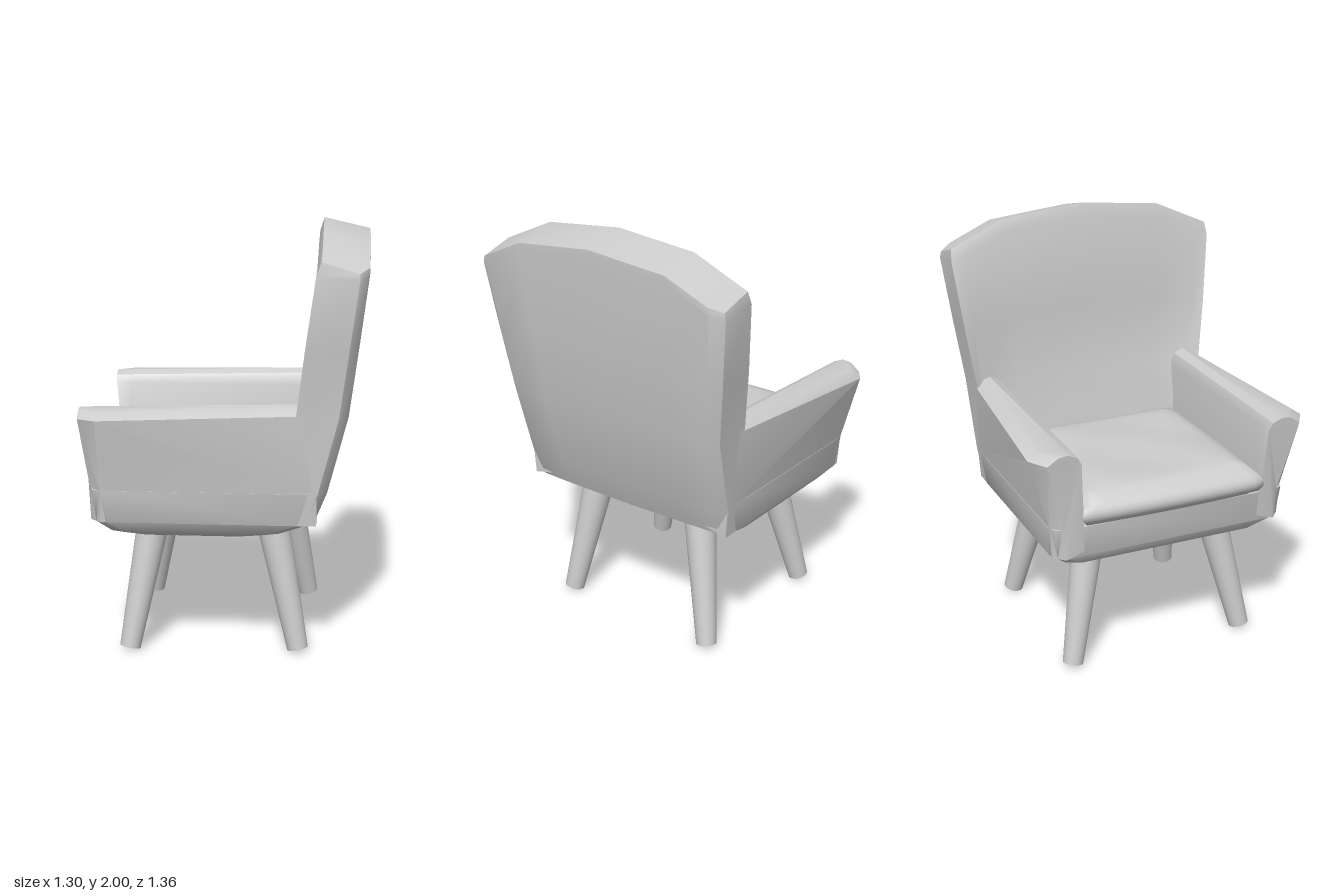
import * as THREE from 'three';
import { mergeVertices, toCreasedNormals } from 'three/addons/utils/BufferGeometryUtils.js';

const material = new THREE.MeshStandardMaterial({ color: 0xcccccc });

function addMesh(parent, name, geometry) {
  const mesh = new THREE.Mesh(geometry, material);
  mesh.name = name;
  parent.add(mesh);
  return mesh;
}

// Closed skin through rings of [x, y, z] points; ends are closed with strips.
function loft(rings, crease = 0.6) {
  const n = rings[0].length;
  const index = [];
  const quad = (a, b, c, d) => index.push(a, b, c, a, c, d);
  for (let r = 0; r < rings.length - 1; r++) {
    for (let i = 0; i < n; i++) {
      const j = (i + 1) % n;
      quad(r * n + i, r * n + j, (r + 1) * n + j, (r + 1) * n + i);
    }
  }
  const last = (rings.length - 1) * n;
  for (let i = 0; i < n / 2 - 1; i++) {
    quad(n - 1 - i, n - 2 - i, i + 1, i);
    quad(last + i, last + i + 1, last + n - 2 - i, last + n - 1 - i);
  }
  const points = rings.flat().map((p) => new THREE.Vector3(...p));
  // Turn the faces outward if the enclosed volume comes out negative
  let volume = 0;
  for (let i = 0; i < index.length; i += 3) {
    volume += points[index[i]].dot(points[index[i + 1]].clone().cross(points[index[i + 2]]));
  }
  if (volume < 0) index.reverse();
  const geometry = new THREE.BufferGeometry().setFromPoints(points);
  geometry.setIndex(index);
  return toCreasedNormals(geometry, crease);
}

// Horizontal rectangle with rounded corners
function baseRing([y, x0, x1, w, r]) {
  const corners = [[x1 - r, w - r, 0], [x0 + r, w - r, 1], [x0 + r, r - w, 2], [x1 - r, r - w, 3]];
  return corners.flatMap(([cx, cz, k]) => [0, 1, 2].map((i) => {
    const a = (k + i / 2) * Math.PI / 2;
    return [cx + r * Math.cos(a), y, cz + r * Math.sin(a)];
  }));
}

// Cross-section of an armrest, leaning forward from xLow to xTop
function armRing([xLow, xTop, zLow, zTop, top], side) {
  const section = [
    [0.68, 0.44], [1.12, 0.465], [top - 0.02, 0.485], [top, 0.53],
    [top - 0.006, zTop - 0.05], [top - 0.04, zTop], [0.8, zLow], [0.65, zLow - 0.012],
  ];
  return section.map(([y, z]) => {
    const t = THREE.MathUtils.clamp((y - 0.8) / 0.36, 0, 1);
    return [THREE.MathUtils.lerp(xLow, xTop, t), y, z * side];
  });
}

// Horizontal slice of the backrest, bent down toward the sides by the arch amount
function backRing([y, w, xEdge, xInner, xBack, arch, backDrop]) {
  const columns = [-1, -0.92, -0.6, 0, 0.6, 0.92, 1];
  const bend = (u) => arch * (Math.abs(u) <= 0.6 ? 0.0667 * Math.abs(u) : 0.04 + 0.3 * (Math.abs(u) - 0.6));
  const front = columns.map((u) => {
    const a = Math.abs(u);
    const x = a === 1 ? xEdge : a > 0.9 ? (xEdge + xInner) / 2 : xInner;
    return [x, y - bend(u), u * w];
  });
  const back = columns.map((u) => {
    const x = xBack - 0.015 * u * u - (Math.abs(u) === 1 ? 0.04 : 0);
    return [x, y - bend(u) - backDrop, u * w];
  }).reverse();
  return front.concat(back);
}

// Soft pillow made by swelling a subdivided box
function cushionGeometry() {
  let geometry = new THREE.BoxGeometry(2, 2, 2, 20, 6, 20);
  geometry.deleteAttribute('normal');
  geometry.deleteAttribute('uv');
  geometry = mergeVertices(geometry);
  const p = geometry.attributes.position;
  for (let i = 0; i < p.count; i++) {
    const u = p.getX(i), v = p.getY(i), w = p.getZ(i);
    const edge = Math.max(Math.abs(u), Math.abs(w));
    const thick = 0.045 + 0.055 * Math.sqrt(1 - edge ** 6);
    const shrink = 1 - 0.05 * v * v;
    const dent = v > 0 ? 0.008 * Math.sin(5 * u + 1) * Math.cos(4 * w) * (1 - edge ** 4) : 0;
    p.setXYZ(i,
      -0.175 + 0.475 * u * shrink * (1 - 0.025 * w * w),
      0.855 + v * thick + dent,
      0.465 * w * shrink * (1 - 0.02 * u * u));
  }
  geometry.computeVertexNormals();
  return geometry;
}

// Tapered leg between a foot point and a top point
function addLeg(parent, name, foot, top) {
  const a = new THREE.Vector3(...foot), b = new THREE.Vector3(...top);
  const axis = b.clone().sub(a);
  const leg = addMesh(parent, name, new THREE.CylinderGeometry(0.078, 0.049, axis.length(), 20));
  leg.position.copy(a).add(b).multiplyScalar(0.5);
  leg.quaternion.setFromUnitVectors(new THREE.Vector3(0, 1, 0), axis.normalize());
}

export function createModel() {
  const chair = new THREE.Group();
  chair.name = 'armchair';

  // Seat base: height, front x, rear x, half width, corner radius
  addMesh(chair, 'seatBase', loft([
    [0.55, -0.47, 0.16, 0.42, 0.1],
    [0.59, -0.55, 0.28, 0.525, 0.1],
    [0.65, -0.6, 0.4, 0.578, 0.07],
    [0.8, -0.612, 0.44, 0.59, 0.06],
  ].map(baseRing), 0.8));

  // Armrests: low x, top x, low half width, top half width, top height
  const armSections = [
    [-0.61, -0.65, 0.54, 0.625, 1.175],
    [-0.56, -0.56, 0.588, 0.682, 1.178],
    [0.42, 0.42, 0.588, 0.6, 1.2],
  ];
  for (const [name, side] of [['armrestLeft', 1], ['armrestRight', -1]]) {
    addMesh(chair, name, loft(armSections.map((s) => armRing(s, side))));
  }

  // Backrest: height, half width, edge x, inner x, back x, arch, drop at the back
  addMesh(chair, 'backrest', loft([
    [0.6, 0.5, 0.22, 0.22, 0.32, 0, 0],
    [0.65, 0.575, 0.27, 0.27, 0.42, 0, 0],
    [0.8, 0.59, 0.29, 0.28, 0.48, 0, 0],
    [1.15, 0.605, 0.325, 0.385, 0.57, 0, 0],
    [1.5, 0.645, 0.362, 0.395, 0.61, 0.3, 0],
    [1.94, 0.682, 0.408, 0.415, 0.65, 1, 0.02],
    [2.0, 0.676, 0.43, 0.435, 0.65, 1, 0.05],
  ].map(backRing), 0.7));

  addMesh(chair, 'seatCushion', cushionGeometry());

  // Splayed legs
  addLeg(chair, 'frontLegLeft', [-0.45, 0.012, 0.455], [-0.345, 0.62, 0.33]);
  addLeg(chair, 'frontLegRight', [-0.45, 0.012, -0.44], [-0.345, 0.62, -0.31]);
  addLeg(chair, 'rearLegLeft', [0.338, 0.012, 0.42], [0.21, 0.62, 0.335]);
  addLeg(chair, 'rearLegRight', [0.37, 0.012, -0.44], [0.25, 0.64, -0.31]);

  return chair;
}
